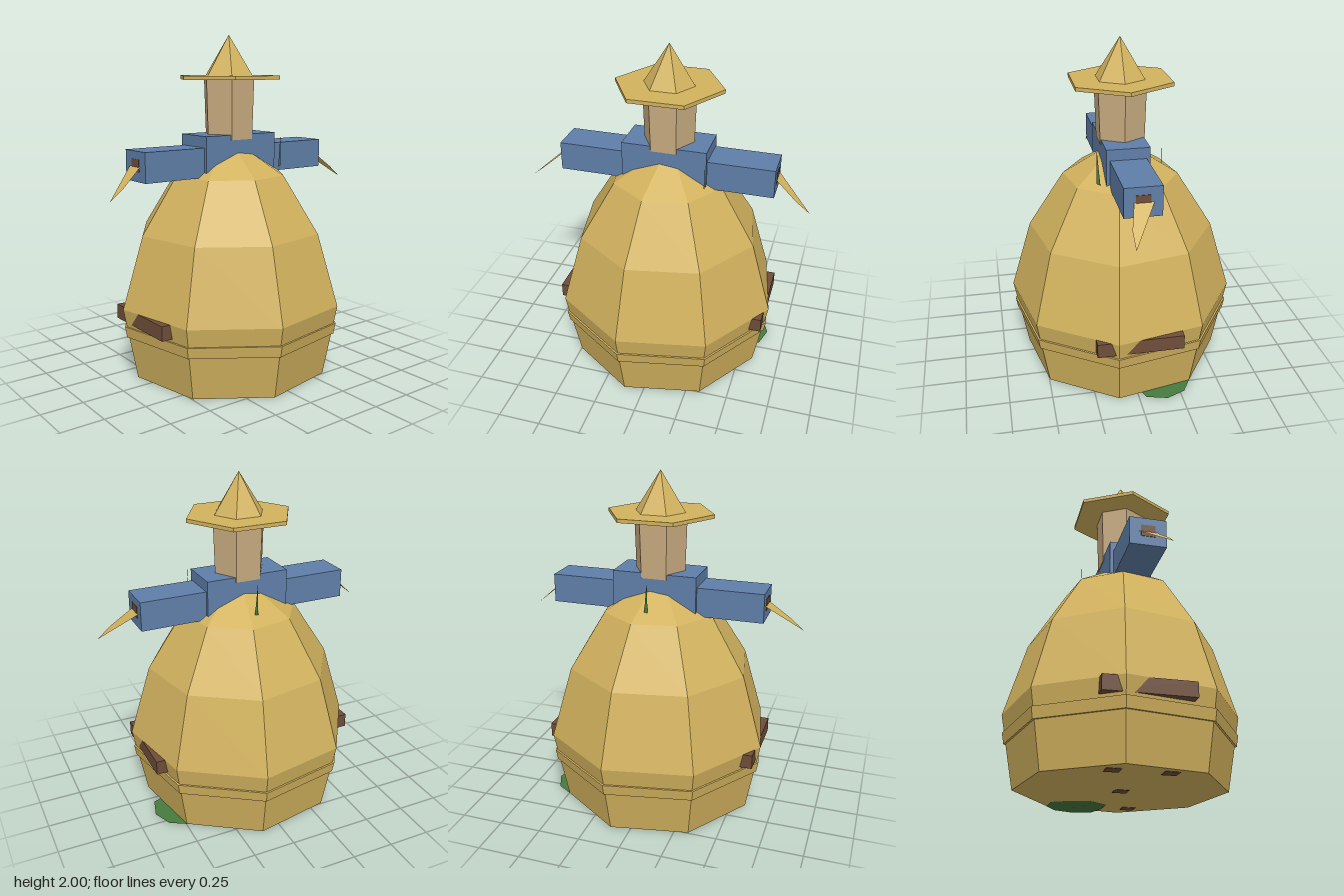
import * as THREE from 'three';

const mat = (name, color, side = THREE.FrontSide) => {
  const m = new THREE.MeshStandardMaterial({ color, side, flatShading: true });
  m.name = name;
  return m;
};

export function createModel() {
  const straw = mat('straw', 0xd2b25e);
  const strawBlade = mat('looseStraw', 0xd2b25e, THREE.DoubleSide);
  const cloth = mat('blueCloth', 0x5f7fa8);
  const sack = mat('sackcloth', 0xc8ab80);
  const wood = mat('wood', 0x6f4d39);
  const grass = mat('grass', 0x467a3d, THREE.DoubleSide);

  const model = new THREE.Group();
  model.name = 'scarecrowInHaystack';
  const add = (name, geometry, material, x = 0, y = 0, z = 0) => {
    const mesh = new THREE.Mesh(geometry, material);
    mesh.name = name;
    mesh.position.set(x, y, z);
    model.add(mesh);
    return mesh;
  };
  // box given by its size and its bottom height
  const box = (name, material, w, h, d, x, y, z) =>
    add(name, new THREE.BoxGeometry(w, h, d), material, x, y + h / 2, z);
  // eight-sided turned shape from [radius, height] pairs
  const turned = (name, profile) => add(name, new THREE.LatheGeometry(
    profile.map(([r, y]) => new THREE.Vector2(r, y)), 8, -Math.PI / 16), straw);
  // six-sided prism or cone with corners on the x axis
  const hexagon = (name, material, rTop, rBottom, y0, y1) =>
    add(name, new THREE.CylinderGeometry(rTop, rBottom, y1 - y0, 6, 1, false, Math.PI / 6 + Math.PI / 3),
      material, 0, (y0 + y1) / 2, 0);
  // flat fan of corner points
  const flat = (name, material, points) => {
    const g = new THREE.BufferGeometry().setFromPoints(points.map((p) => new THREE.Vector3(...p)));
    const index = [];
    for (let i = 1; i < points.length - 1; i++) index.push(0, i, i + 1);
    g.setIndex(index);
    g.computeVertexNormals();
    return add(name, g, material);
  };

  // haystack and its binding
  turned('haystack', [[0, 0.002], [0.597, 0.002], [0.678, 0.43], [0.552, 0.855], [0.34, 1.19], [0, 1.405]]);
  turned('strawBand', [[0.64, 0.26], [0.658, 0.26], [0.67, 0.325], [0.65, 0.325]]);

  // bench buried in the stack
  box('benchSeat', wood, 1.28, 0.085, 0.5, 0, 0.345, 0);
  for (const x of [-0.45, 0.45]) {
    for (const z of [-0.15, 0.15]) box('benchLeg', wood, 0.08, 0.345, 0.08, x, 0, z);
  }

  // scarecrow frame and clothes
  box('post', wood, 0.08, 1.35, 0.08, 0, 0, 0);
  box('crossBar', wood, 1.282, 0.07, 0.08, 0, 1.25, 0);
  box('torso', cloth, 0.5, 0.43, 0.25, 0, 1.0, 0);
  box('sleeves', cloth, 1.276, 0.17, 0.21, 0, 1.195, 0);

  // head and hat
  hexagon('head', sack, 0.16, 0.149, 1.4, 1.75);
  hexagon('hatBrim', straw, 0.318, 0.318, 1.745, 1.767);
  hexagon('hatCrown', straw, 0, 0.15, 1.767, 2.0);

  // straw hands
  for (const s of [-1, 1]) {
    const corner = (x, z) => [s * x, 1.28 - (x - 0.638) * 0.82, z];
    flat('strawHand', strawBlade, [corner(0.638, -0.06), corner(0.638, 0.05), corner(0.76, 0.083),
      corner(0.845, 0.08), corner(0.73, 0.005)]);
  }

  // grass patch on the ground and two blades on top
  const patch = [];
  for (let i = 0; i < 9; i++) {
    const a = (i / 9) * Math.PI * 2;
    const r = 0.18 + 0.015 * Math.sin(i * 2.3);
    patch.push([0.455 + r * Math.cos(a), 0, -0.165 + r * Math.sin(a)]);
  }
  flat('grassPatch', grass, patch);
  flat('grassBlade', grass, [[0.252, 1.225, 0.16], [0.252, 1.235, 0.182], [0.252, 1.43, 0.178]]);
  flat('grassBlade', grass, [[-0.005, 1.225, -0.25], [0.017, 1.225, -0.25], [0.0, 1.42, -0.25]]);

  return model;
}
